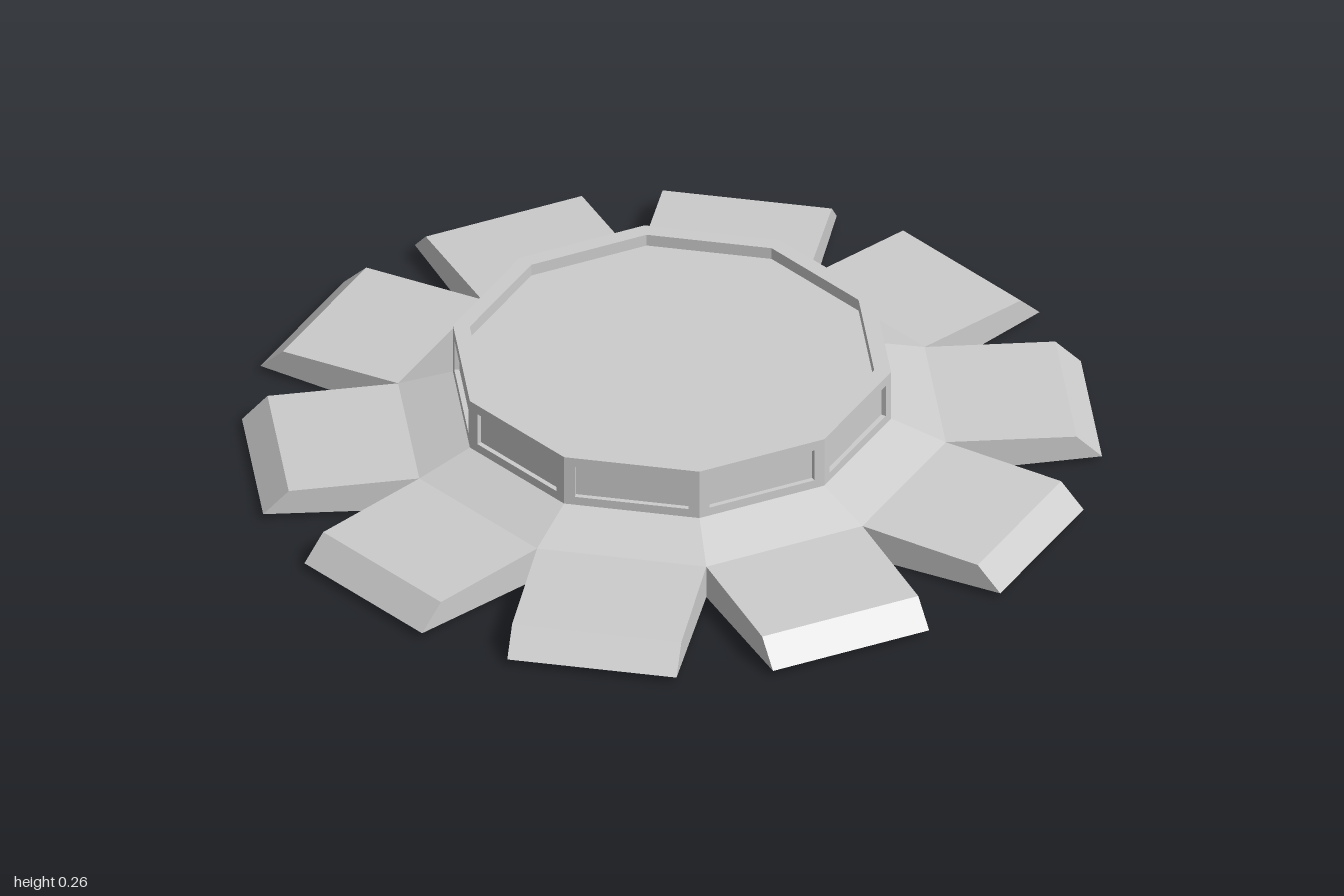
import * as THREE from 'three';

const SIDES = 10;
const STEP = (Math.PI * 2) / SIDES;
const BASE_R = 0.65, WALL_R = 0.52;
const apothem = (r) => r * Math.cos(STEP / 2);
const halfSide = (r) => r * Math.sin(STEP / 2);
const vecs = (pts) => pts.map(([x, y]) => new THREE.Vector2(x, y));

export function createModel() {
  const model = new THREE.Group();
  const material = new THREE.MeshStandardMaterial({ color: 0xcccccc, flatShading: true });
  const add = (parent, name, geometry) => {
    const mesh = new THREE.Mesh(geometry, material);
    mesh.name = name;
    parent.add(mesh);
    return mesh;
  };
  // Ten-sided ring with corners on the x axis
  const ring = (pts) => new THREE.LatheGeometry(vecs(pts), SIDES, Math.PI / 2);

  // Central body: underside, sloping skirt, rim with a sunken roof
  add(model, 'underside', ring([[0, 0], [BASE_R, 0]]));
  add(model, 'skirt', ring([[BASE_R, 0.085], [WALL_R, 0.135]]));
  add(model, 'roof', ring([[WALL_R, 0.265], [0.48, 0.265], [0.48, 0.235], [0, 0.235]]));

  // Arm: tapered side profile with a sloping tip, extruded across its width
  const armHalf = halfSide(BASE_R), root = apothem(BASE_R);
  const armGeometry = new THREE.ExtrudeGeometry(
    new THREE.Shape(vecs([[root, 0], [0.985, 0.015], [0.925, 0.075], [root, 0.085]])),
    { depth: armHalf * 2, bevelEnabled: false });
  armGeometry.translate(0, 0, -armHalf).rotateY(-Math.PI / 2);

  // Wall: frame around a shallow recessed panel
  const w = halfSide(WALL_R), depth = 0.012, face = apothem(WALL_R);
  const frame = new THREE.Shape(vecs([[-w, 0.135], [w, 0.135], [w, 0.265], [-w, 0.265]]));
  frame.holes.push(new THREE.Path(vecs([[-0.135, 0.157], [-0.135, 0.241], [0.135, 0.241], [0.135, 0.157]])));
  const frameGeometry = new THREE.ExtrudeGeometry(frame, { depth, bevelEnabled: false });
  frameGeometry.translate(0, 0, face - depth);
  const panelGeometry = new THREE.PlaneGeometry(0.27, 0.084).translate(0, 0.199, face - depth);

  // Repeat the sector around the body
  for (let i = 0; i < SIDES; i++) {
    const sector = new THREE.Group();
    sector.name = 'sector';
    sector.rotation.y = i * STEP;
    add(sector, 'arm', armGeometry);
    add(sector, 'wallFrame', frameGeometry);
    add(sector, 'wallPanel', panelGeometry);
    model.add(sector);
  }
  return model;
}
